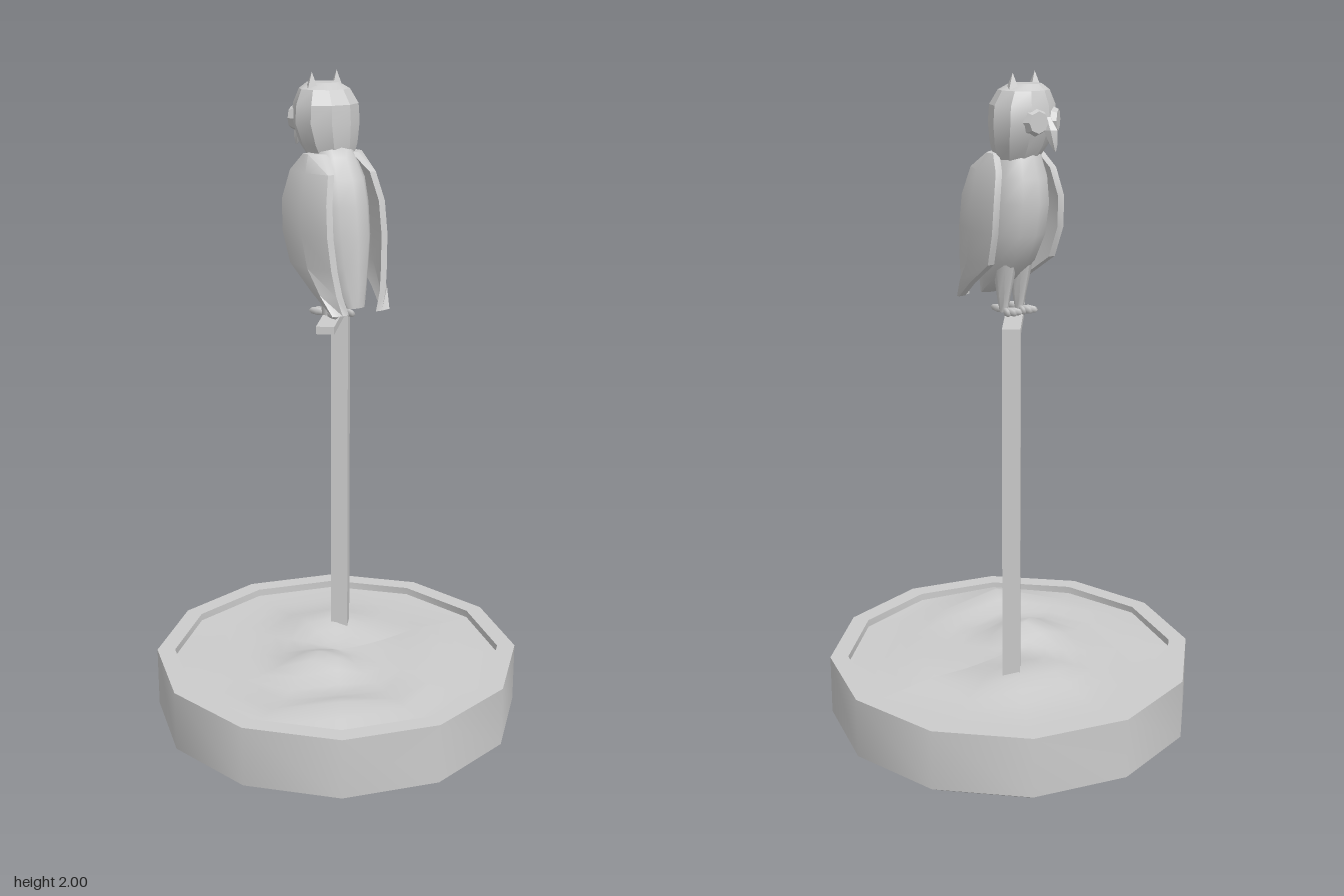
import * as THREE from 'three';
import { toCreasedNormals } from 'three/addons/utils/BufferGeometryUtils.js';

const material = new THREE.MeshStandardMaterial({ color: 0xcccccc });
const facetMaterial = new THREE.MeshStandardMaterial({ color: 0xcccccc, flatShading: true });

function part(name, geometry, parent, mat = material) {
  const mesh = new THREE.Mesh(geometry, mat);
  mesh.name = name;
  parent.add(mesh);
  return mesh;
}

// Skin a stack of rings (bottom to top) and close both ends
function loft(rings, crease) {
  const n = rings[0].length, last = (rings.length - 1) * n, index = [];
  for (let i = 0; i < rings.length - 1; i++) {
    for (let j = 0; j < n; j++) {
      const a = i * n + j, b = i * n + (j + 1) % n;
      index.push(a, b, b + n, a, b + n, a + n);
    }
  }
  for (let j = 1; j < n - 1; j++) {
    index.push(0, j + 1, j, last, last + j, last + j + 1);
  }
  const geometry = new THREE.BufferGeometry();
  geometry.setAttribute('position', new THREE.Float32BufferAttribute(rings.flat(2), 3));
  geometry.setIndex(index);
  return toCreasedNormals(geometry, crease);
}

// Elliptical ring: height, z centre, half width, half depth
const ellipse = ([y, z, rx, rz], sides) => Array.from({ length: sides }, (_, j) => {
  const t = (j / sides) * Math.PI * 2;
  return [Math.sin(t) * rx, y, z + Math.cos(t) * rz];
});

// Wing section, bowed outwards and curling in behind: height, front z, back z, outer x
function wingSection([y, front, back, x]) {
  const mid = front * 0.45 + back * 0.55;
  return [
    [x - 0.03, y, back], [x, y, mid], [x - 0.002, y, front],
    [x - 0.024, y, front], [x - 0.024, y, mid], [x - 0.05, y, back],
  ];
}

function addBase(root) {
  const profile = [[0, 0], [0.48, 0], [0.56, 0.05], [0.56, 0.235], [0.505, 0.235], [0.505, 0.18]]
    .map(([x, y]) => new THREE.Vector2(x, y));
  part('basin', toCreasedNormals(new THREE.LatheGeometry(profile, 12), 0.7), root);

  // Uneven soil: x, z, height, spread of each mound
  const mounds = [
    [-0.11, 0.07, 0.065, 0.1], [-0.2, 0.33, 0.05, 0.08],
    [0.06, -0.18, 0.05, 0.12], [0.3, 0.1, 0.03, 0.1], [-0.4, -0.05, 0.02, 0.08],
  ];
  const soil = new THREE.RingGeometry(0.001, 0.505, 12, 9).rotateX(-Math.PI / 2);
  const p = soil.attributes.position;
  for (let i = 0; i < p.count; i++) {
    let y = 0.212;
    for (const [x, z, h, s] of mounds) {
      y += h * Math.exp(-((p.getX(i) - x) ** 2 + (p.getZ(i) - z) ** 2) / (s * s));
    }
    p.setY(i, y);
  }
  soil.computeVertexNormals();
  part('soil', soil, root);
}

function addStand(root) {
  const stand = new THREE.Group();
  stand.name = 'stand';
  stand.position.set(0.1, 0, -0.14);
  stand.rotation.y = -0.686;
  root.add(stand);
  part('post', new THREE.BoxGeometry(0.052, 1.1, 0.052), stand).position.y = 0.75;
  part('perch', new THREE.BoxGeometry(0.052, 0.022, 0.355), stand).position.set(0, 1.299, 0.152);
}

function addHead(owl) {
  const head = new THREE.Group();
  head.name = 'head';
  head.position.z = -0.04;
  head.rotation.y = 0.3;
  owl.add(head);
  const skull = [
    [1.755, 0.02, 0.06, 0.06], [1.8, 0.01, 0.085, 0.08], [1.86, 0, 0.1, 0.093],
    [1.91, 0, 0.096, 0.09], [1.95, -0.005, 0.075, 0.07], [1.967, -0.01, 0.045, 0.045],
  ];
  part('skull', loft(skull.map((r) => ellipse(r, 10)), 0.4), head);

  // Hooked beak
  const beak = [[1.788, -0.112, 0.003, 0.003], [1.81, -0.106, 0.012, 0.014],
    [1.845, -0.095, 0.018, 0.024], [1.88, -0.082, 0.01, 0.012]];
  part('beak', loft(beak.map((r) => ellipse(r, 6)), 0.3), head);

  for (const side of [-1, 1]) {
    const disc = part('facialDisc', new THREE.CylinderGeometry(0.03, 0.04, 0.022, 8).rotateX(-Math.PI / 2), head, facetMaterial);
    disc.position.set(side * 0.042, 1.868, -0.08);
    disc.rotation.y = -side * 0.42;
    const ear = part('earTuft', new THREE.ConeGeometry(0.03, 0.085, 4), head, facetMaterial);
    ear.position.set(side * 0.052, 1.955, -0.005);
    ear.scale.z = 1.4;
  }
}

function addLeg(owl, side) {
  const leg = new THREE.Group();
  leg.name = side > 0 ? 'leftLeg' : 'rightLeg';
  leg.position.x = side * 0.028;
  owl.add(leg);
  const rows = [[1.315, 0.008, 0.012, 0.014], [1.36, 0.01, 0.016, 0.025], [1.46, 0.005, 0.03, 0.045]];
  part('shank', loft(rows.map((r) => ellipse(r, 8)), 0.9), leg);
  // Three toes forward, one back
  for (const angle of [Math.PI - 0.4, Math.PI, Math.PI + 0.4, 0]) {
    const toe = part('toe', new THREE.SphereGeometry(1, 6, 4), leg);
    toe.scale.set(0.008, 0.012, 0.034);
    toe.rotation.y = angle;
    toe.position.set(Math.sin(angle) * 0.032, 1.32, 0.008 + Math.cos(angle) * 0.032);
  }
}

export function createModel() {
  const root = new THREE.Group();
  root.name = 'owlOnPerch';
  addBase(root);
  addStand(root);

  const owl = new THREE.Group();
  owl.name = 'owl';
  owl.position.x = -0.011;
  root.add(owl);

  // Leaning body, narrowing to the tail
  const body = [
    [1.355, 0.118, 0.03, 0.018], [1.41, 0.068, 0.056, 0.07], [1.47, 0.035, 0.076, 0.1],
    [1.55, 0.014, 0.09, 0.12], [1.64, 0, 0.092, 0.122], [1.71, -0.005, 0.085, 0.11],
    [1.77, -0.012, 0.066, 0.08], [1.8, -0.02, 0.055, 0.06],
  ];
  part('body', loft(body.map((r) => ellipse(r, 12)), 0.9), owl);

  // Folded wings
  const wing = loft([
    [1.345, 0.143, 0.157, 0.095], [1.4, 0.065, 0.15, 0.112], [1.47, -0.04, 0.14, 0.122],
    [1.56, -0.07, 0.13, 0.129], [1.65, -0.075, 0.12, 0.126], [1.73, -0.06, 0.1, 0.108],
    [1.778, -0.02, 0.035, 0.088],
  ].map(wingSection), 0.6);
  for (const side of [-1, 1]) {
    part(side > 0 ? 'leftWing' : 'rightWing', wing, owl).scale.x = side;
    addLeg(owl, side);
  }
  addHead(owl);
  return root;
}
